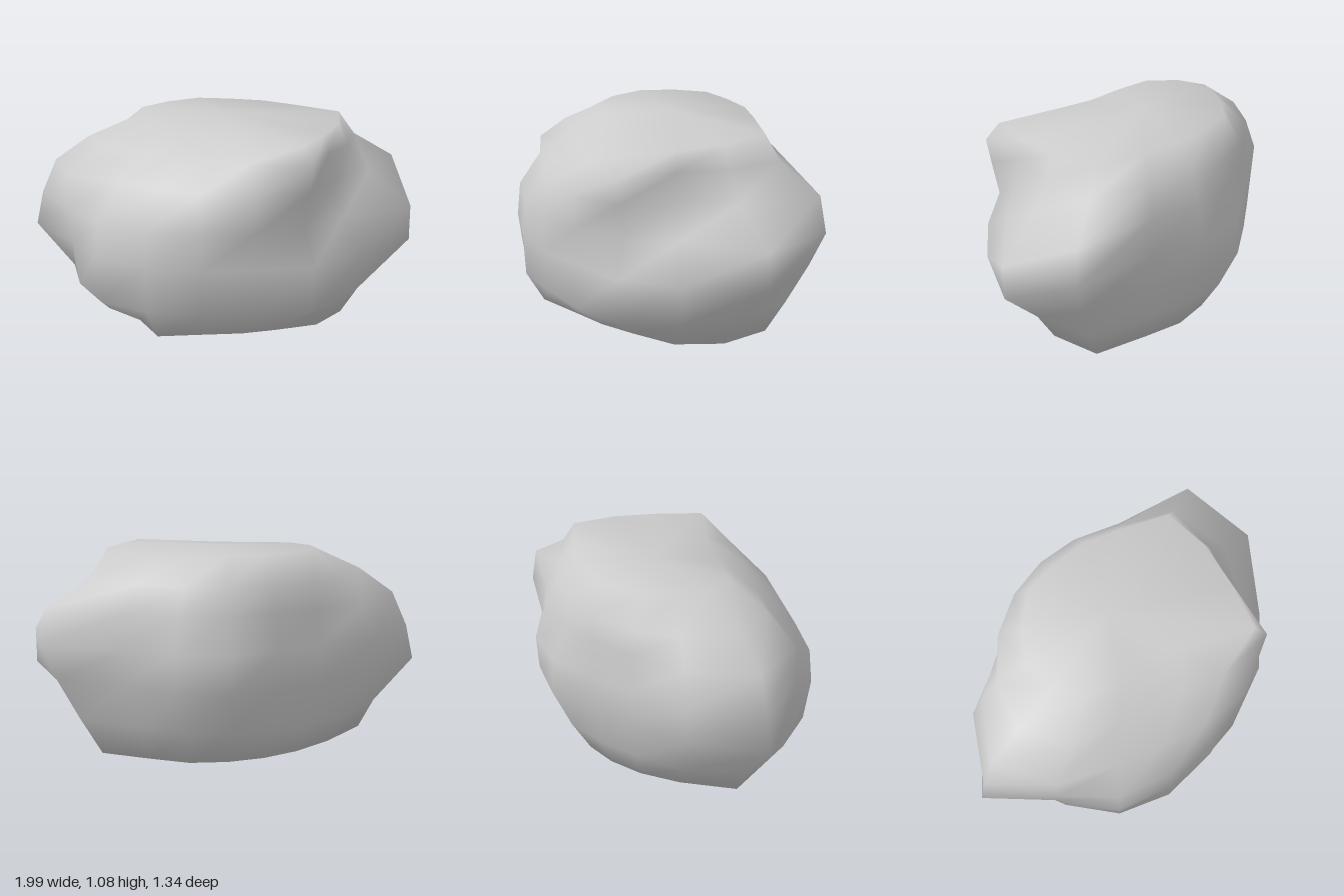
import * as THREE from 'three';

// Cross-sections from bottom to top: height, slope along x and z,
// and radii every 22.5 degrees from +x towards +z
const RINGS = [
  { y: 0.05, slope: [-0.03, 0.01], r: [0.65, 0.58, 0.48, 0.46, 0.48, 0.60, 0.51, 0.60, 0.72, 0.57, 0.50, 0.47, 0.47, 0.50, 0.54, 0.69] },
  { y: 0.22, slope: [0, 0], r: [0.77, 0.75, 0.74, 0.67, 0.64, 0.69, 0.74, 0.75, 0.80, 0.68, 0.58, 0.55, 0.57, 0.58, 0.62, 0.80] },
  { y: 0.45, slope: [0, 0], r: [0.99, 0.83, 0.75, 0.66, 0.67, 0.70, 0.77, 0.78, 1.00, 0.78, 0.64, 0.61, 0.67, 0.68, 0.70, 0.92] },
  { y: 0.63, slope: [0, 0], r: [0.99, 0.71, 0.68, 0.67, 0.66, 0.68, 0.75, 0.80, 0.96, 0.81, 0.63, 0.60, 0.65, 0.69, 0.71, 1.00] },
  { y: 0.81, slope: [0, 0], r: [0.77, 0.66, 0.71, 0.68, 0.60, 0.57, 0.63, 0.79, 0.88, 0.74, 0.60, 0.57, 0.58, 0.63, 0.68, 0.96] },
  { y: 0.94, slope: [0, 0], r: [0.66, 0.62, 0.73, 0.55, 0.43, 0.40, 0.45, 0.61, 0.70, 0.65, 0.60, 0.57, 0.56, 0.57, 0.60, 0.74] },
  { y: 1.055, slope: [-0.01, -0.05], r: [0.61, 0.60, 0.66, 0.32, 0.24, 0.24, 0.28, 0.38, 0.44, 0.48, 0.47, 0.48, 0.45, 0.47, 0.51, 0.65] },
];
const SIDES = 16;

function boulderGeometry() {
  const positions = [];
  const index = [];
  for (const { y, slope, r } of RINGS) {
    r.forEach((radius, i) => {
      const angle = (i / SIDES) * Math.PI * 2;
      const x = radius * Math.cos(angle);
      const z = radius * Math.sin(angle);
      positions.push(x, y + slope[0] * x + slope[1] * z, z);
    });
  }

  // Skin between neighbouring rings
  for (let level = 0; level < RINGS.length - 1; level++) {
    for (let i = 0; i < SIDES; i++) {
      const next = (i + 1) % SIDES;
      const a = level * SIDES + i;
      const b = level * SIDES + next;
      index.push(a, a + SIDES, b, b, a + SIDES, b + SIDES);
    }
  }

  // Shallow caps underneath and on top
  const bottom = positions.length / 3;
  positions.push(0, 0, 0.1, 0, 1.075, -0.08);
  const last = (RINGS.length - 1) * SIDES;
  for (let i = 0; i < SIDES; i++) {
    const next = (i + 1) % SIDES;
    index.push(bottom, i, next);
    index.push(bottom + 1, last + next, last + i);
  }

  const geometry = new THREE.BufferGeometry();
  geometry.setAttribute('position', new THREE.Float32BufferAttribute(positions, 3));
  geometry.setIndex(index);
  geometry.computeVertexNormals();
  return geometry;
}

export function createModel() {
  const group = new THREE.Group();
  group.name = 'rock';
  const stone = new THREE.MeshStandardMaterial({ color: 0xcccccc });
  stone.name = 'grey stone';
  const boulder = new THREE.Mesh(boulderGeometry(), stone);
  boulder.name = 'boulder';
  group.add(boulder);
  return group;
}
